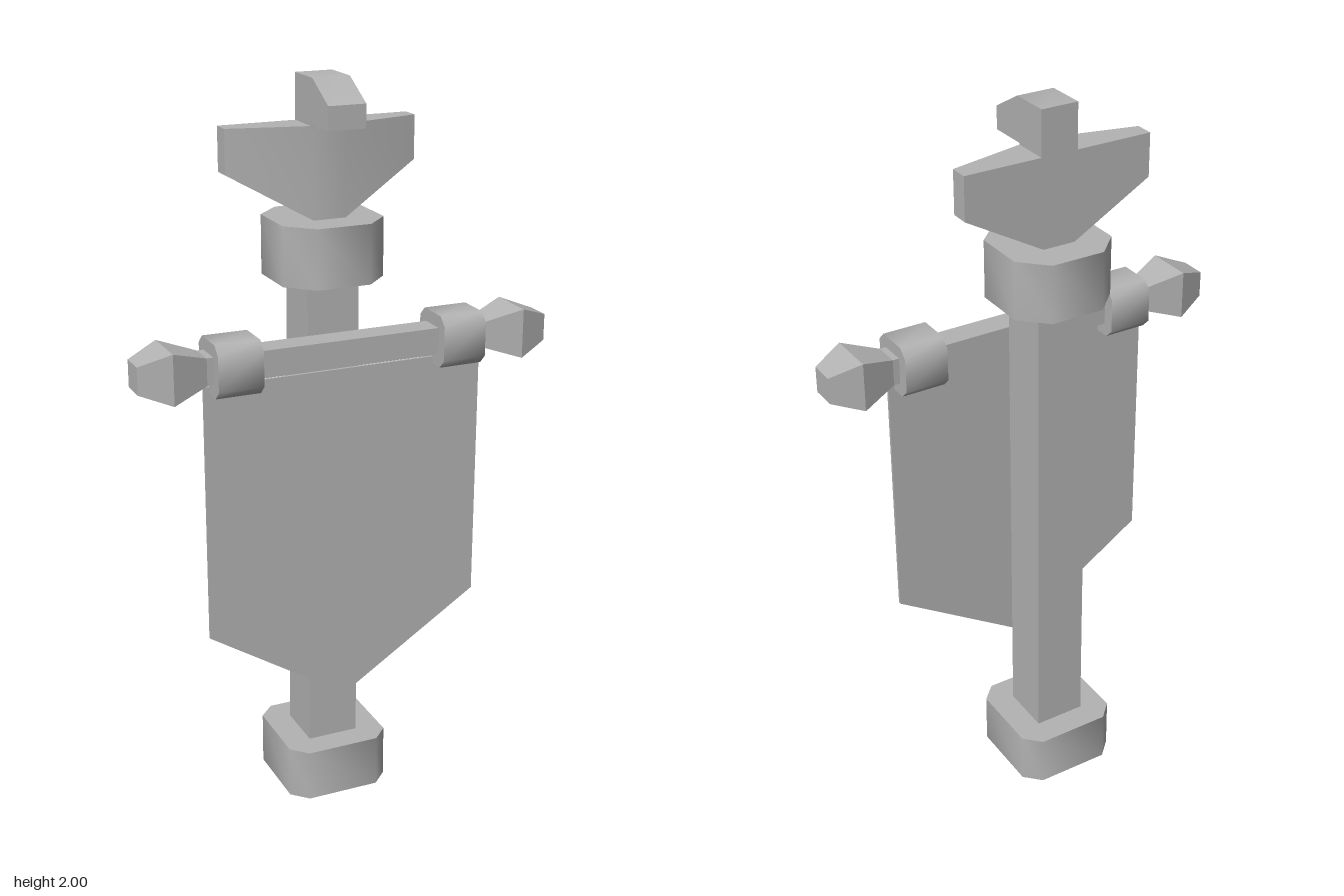
import * as THREE from 'three';
import { toCreasedNormals } from 'three/addons/utils/BufferGeometryUtils.js';

const stone = new THREE.MeshStandardMaterial({ color: 0xb3b3b3 });
stone.name = 'grey';

const POLE_Z = -0.035, ROD_Y = 1.32, ROD_Z = 0.111;

// Square outline with cut corners
function cutSquare(h, c) {
  const k = h - c;
  return new THREE.Shape([[h, -k], [h, k], [k, h], [-k, h], [-h, k], [-h, -k], [-k, -h], [k, -h]]
    .map(([x, y]) => new THREE.Vector2(x, y)));
}

function extrude(shape, depth) {
  return new THREE.ExtrudeGeometry(shape, { depth, bevelEnabled: false });
}

// Loft through equal-length rings of corners, capped at both ends, running along +x
function loft(rings) {
  const n = rings[0].length, pos = [];
  const tri = (a, b, c) => pos.push(...a, ...b, ...c);
  for (let i = 0; i < rings.length - 1; i++) {
    for (let j = 0; j < n; j++) {
      const k = (j + 1) % n, A = rings[i], B = rings[i + 1];
      tri(A[j], A[k], B[k]);
      tri(A[j], B[k], B[j]);
    }
  }
  const first = rings[0], last = rings[rings.length - 1];
  for (let j = 1; j < n - 1; j++) {
    tri(first[0], first[j + 1], first[j]);
    tri(last[0], last[j], last[j + 1]);
  }
  const g = new THREE.BufferGeometry();
  g.setAttribute('position', new THREE.Float32BufferAttribute(pos, 3));
  g.computeVertexNormals();
  return g;
}

export function createModel() {
  const model = new THREE.Group();
  model.name = 'bannerStandard';

  const add = (name, geometry, x = 0, y = 0, z = 0) => {
    const mesh = new THREE.Mesh(geometry, stone);
    mesh.name = name;
    mesh.position.set(x, y, z);
    model.add(mesh);
    return mesh;
  };

  // Pole with a foot and an upper collar
  add('pole', new THREE.BoxGeometry(0.144, 1.4, 0.144), 0, 0.8, POLE_Z);
  const block = (name, half, cut, y0, y1) => {
    const g = extrude(cutSquare(half, cut), y1 - y0).rotateX(-Math.PI / 2);
    add(name, toCreasedNormals(g, 0.9), 0, y0, POLE_Z);
  };
  block('foot', 0.146, 0.043, 0, 0.147);
  block('collar', 0.141, 0.067, 1.482, 1.64);

  // Crossbar, its rings and its pointed ends
  add('crossbar', new THREE.BoxGeometry(0.8, 0.072, 0.072), 0, ROD_Y, ROD_Z);
  const square = (x, h) => [[x, -h, -h], [x, h, -h], [x, h, h], [x, -h, h]];
  for (const side of [1, -1]) {
    const label = side > 0 ? 'left' : 'right';
    const ring = extrude(cutSquare(0.07, 0.024), 0.121).translate(0, 0, -0.0605).rotateY(Math.PI / 2);
    add(label + 'Ring', toCreasedNormals(ring, 0.9), side * 0.312, ROD_Y, ROD_Z);
    const finial = add(label + 'Finial',
      loft([square(0.39, 0.036), square(0.487, 0.067), square(0.57, 0.036)]), 0, ROD_Y, ROD_Z);
    if (side < 0) finial.rotation.y = Math.PI;
  }

  // Pointed cloth
  const cloth = new THREE.Shape([[-0.39, 1.27], [-0.39, 0.57], [0, 0.32], [0.39, 0.57], [0.39, 1.27]]
    .map(([x, y]) => new THREE.Vector2(x, y)));
  add('cloth', extrude(cloth, 0.008), 0, 0, ROD_Z - 0.002);

  // Spread wings, thick in the middle and thin at the tips
  const section = (x, bottom, front) =>
    [[x, bottom, -0.088], [x, 1.88, -0.088], [x, 1.88, front], [x, bottom, front]];
  add('wings', toCreasedNormals(loft([
    section(-0.263, 1.764, -0.037), section(-0.045, 1.64, 0.014),
    section(0.045, 1.64, 0.014), section(0.263, 1.764, -0.037),
  ]), 0.4));

  // Head with a sloping beak, drawn as a side profile (z, y)
  const head = new THREE.Shape([[-0.088, 1.87], [0.014, 1.87], [0.014, 1.884], [0.12, 1.884],
    [0.12, 1.945], [0.022, 2], [-0.088, 2]].map(([z, y]) => new THREE.Vector2(-z, y)));
  const headGeometry = extrude(head, 0.102).translate(0, 0, -0.051).rotateY(Math.PI / 2);
  add('head', toCreasedNormals(headGeometry, 0.6));

  return model;
}
